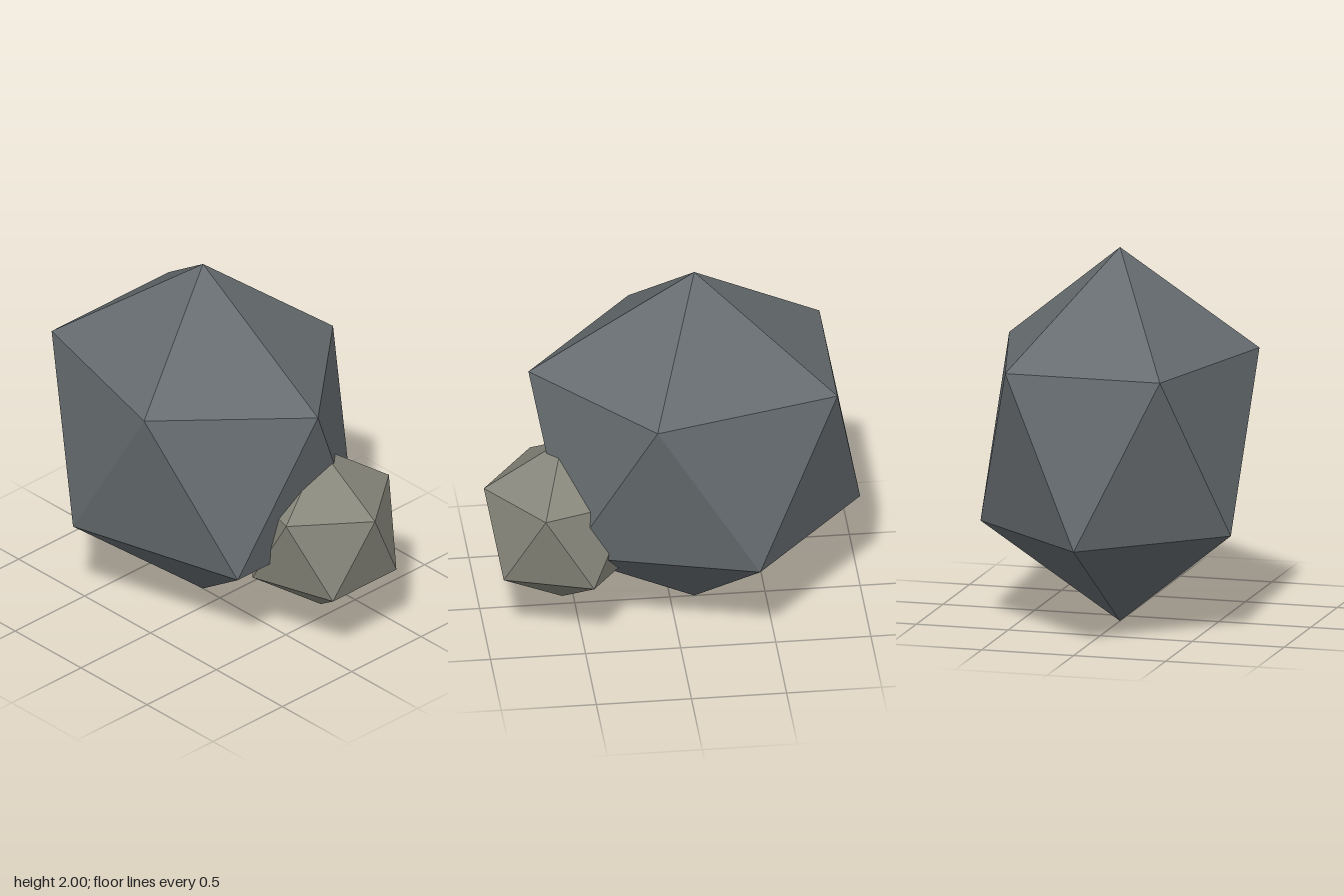
import * as THREE from 'three';

// Stretched icosahedron standing on a vertex, with an upper ring corner facing +x
function makeStone(name, color, radii, center) {
  const geometry = new THREE.IcosahedronGeometry(1, 0);
  const golden = (1 + Math.sqrt(5)) / 2;
  geometry.rotateZ(-Math.atan(1 / golden));
  geometry.scale(...radii);
  geometry.computeVertexNormals();
  const material = new THREE.MeshStandardMaterial({ color, flatShading: true });
  const stone = new THREE.Mesh(geometry, material);
  stone.name = name;
  stone.position.set(...center);
  return stone;
}

export function createModel() {
  const group = new THREE.Group();
  group.name = 'rocks';
  // Tall main boulder
  group.add(makeStone('largeRock', 0x666c70, [0.975, 1, 0.8], [-0.128, 1, 0]));
  // Smaller stone embedded in its lower left side, towards the back
  group.add(makeStone('smallRock', 0x87867b, [0.46, 0.48, 0.435], [0.586, 0.635, -0.17]));
  return group;
}
